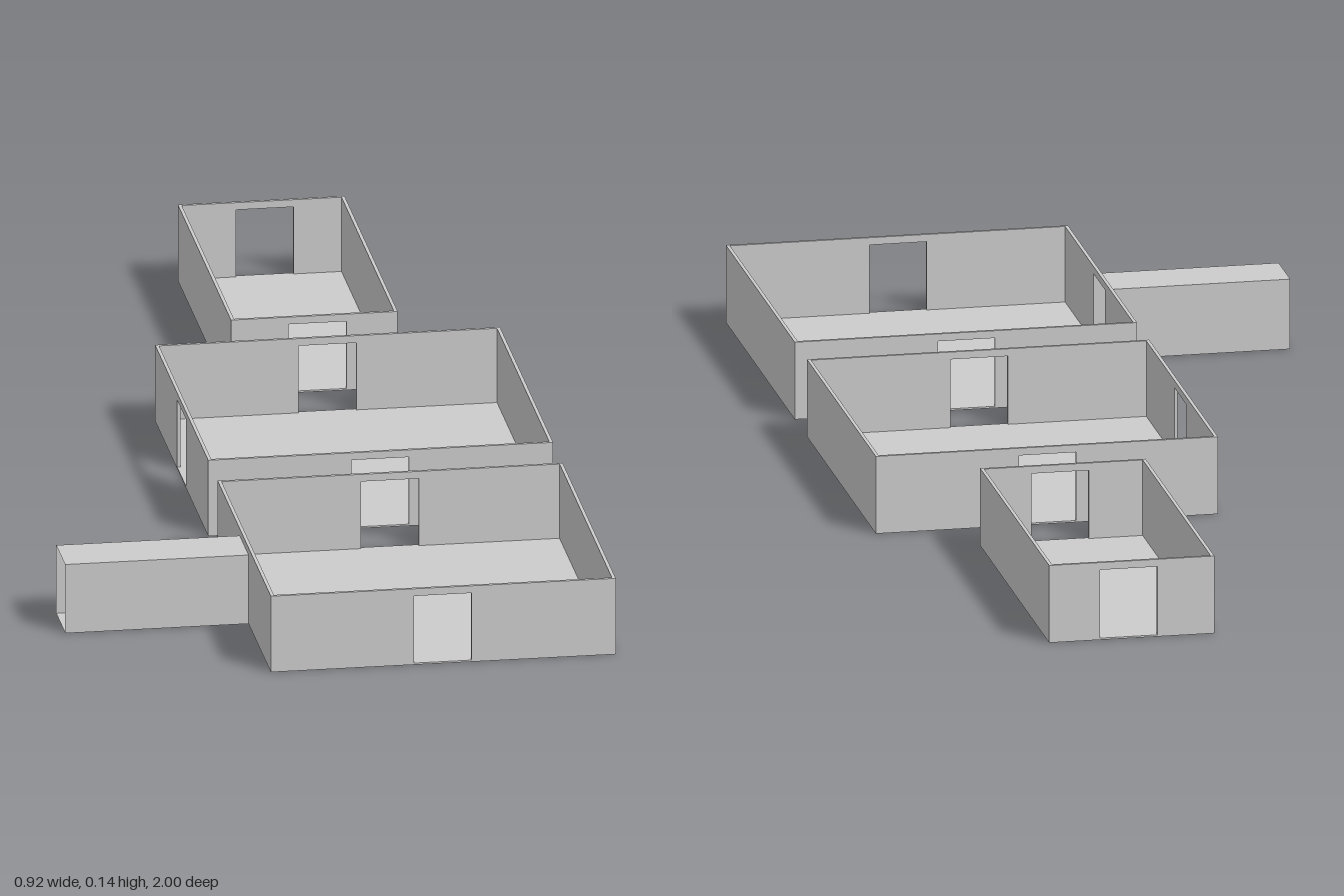
import * as THREE from 'three';

const WALL_TOP = 0.138, FLOOR = 0.003, THICK = 0.006;
const DOOR_WIDTH = 0.1, DOOR_TOP = 0.125, DOOR_X = 0.158;

const material = new THREE.MeshStandardMaterial({ color: 0xcccccc, flatShading: true });
const thinMaterial = new THREE.MeshStandardMaterial({ color: 0xcccccc, flatShading: true, side: THREE.DoubleSide });

// Upright wall from a to b along its own x, with an optional doorway centred at door
function wallGeometry(a, b, door) {
  const s = new THREE.Shape();
  s.moveTo(a, FLOOR);
  if (door !== undefined) {
    const l = door - DOOR_WIDTH / 2, r = door + DOOR_WIDTH / 2;
    s.lineTo(l, FLOOR);
    s.lineTo(l, DOOR_TOP);
    s.lineTo(r, DOOR_TOP);
    s.lineTo(r, FLOOR);
  }
  s.lineTo(b, FLOOR);
  s.lineTo(b, WALL_TOP);
  s.lineTo(a, WALL_TOP);
  s.closePath();
  return new THREE.ExtrudeGeometry(s, { depth: THICK, bevelEnabled: false });
}

function addMesh(group, name, geometry, mat = material) {
  const mesh = new THREE.Mesh(geometry, mat);
  mesh.name = name;
  group.add(mesh);
  return mesh;
}

// Roofless room: floor slab and four walls; sideDoor is the z of a doorway in the -x wall
function createRoom({ name, x0, x1, z0, z1, sideDoor }) {
  const room = new THREE.Group();
  room.name = name;

  addMesh(room, 'floor', new THREE.BoxGeometry(x1 - x0, FLOOR, z1 - z0))
    .position.set((x0 + x1) / 2, FLOOR / 2, (z0 + z1) / 2);

  addMesh(room, 'frontWall', wallGeometry(x0, x1, DOOR_X)).position.z = z1 - THICK;
  addMesh(room, 'backWall', wallGeometry(x0, x1, DOOR_X)).position.z = z0;

  // Side walls turn so that their own x runs along -z
  const a = -(z1 - THICK), b = -(z0 + THICK);
  const right = addMesh(room, 'rightWall', wallGeometry(a, b, sideDoor === undefined ? undefined : -sideDoor));
  const left = addMesh(room, 'leftWall', wallGeometry(a, b));
  right.rotation.y = left.rotation.y = Math.PI / 2;
  right.position.x = x0;
  left.position.x = x1 - THICK;
  return room;
}

// Thin square passage, open at both ends
function createCorridor(x0, x1, z) {
  const corridor = new THREE.Group();
  corridor.name = 'corridor';
  const length = x1 - x0, x = (x0 + x1) / 2, mid = DOOR_TOP / 2;
  for (const [name, y] of [['corridorFloor', 0.001], ['corridorRoof', DOOR_TOP]]) {
    const m = addMesh(corridor, name, new THREE.PlaneGeometry(length, DOOR_WIDTH), thinMaterial);
    m.rotation.x = -Math.PI / 2;
    m.position.set(x, y, z);
  }
  for (const [name, side] of [['corridorFrontWall', 1], ['corridorBackWall', -1]]) {
    const m = addMesh(corridor, name, new THREE.PlaneGeometry(length, DOOR_TOP), thinMaterial);
    m.position.set(x, mid, z + side * DOOR_WIDTH / 2);
  }
  return corridor;
}

export function createModel() {
  const model = new THREE.Group();
  model.name = 'roomModules';
  const rooms = [
    { name: 'frontRoom', x0: -0.14, x1: 0.458, z0: 0.403, z1: 1, sideDoor: 0.7 },
    { name: 'middleRoom', x0: -0.14, x1: 0.458, z0: -0.298, z1: 0.298, sideDoor: 0 },
    { name: 'backRoom', x0: 0.008, x1: 0.297, z0: -1, z1: -0.403 },
  ];
  rooms.forEach((r) => model.add(createRoom(r)));
  model.add(createCorridor(-0.458, -0.14, 0.7));
  return model;
}
